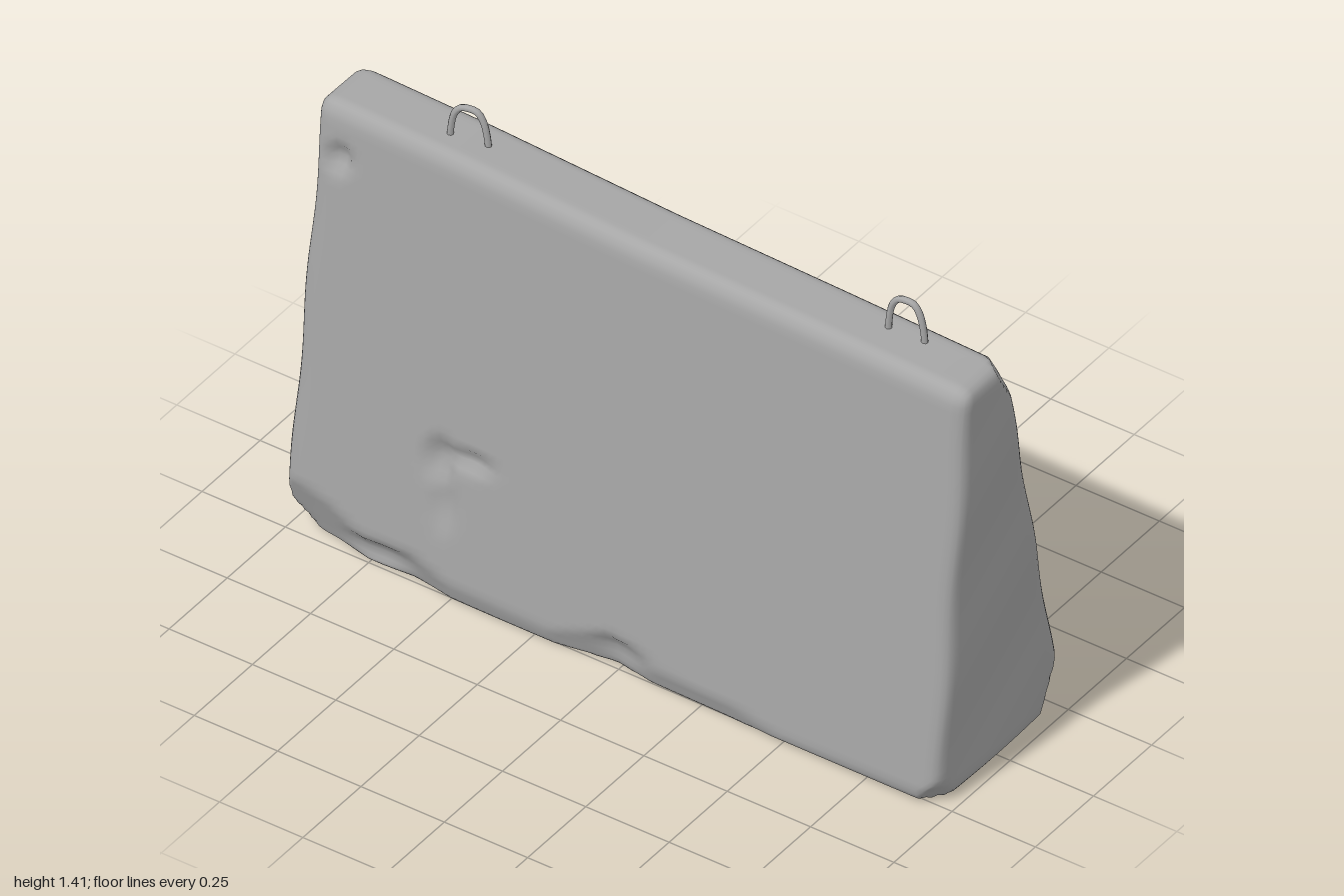
import * as THREE from 'three';
import { mergeVertices } from 'three/addons/utils/BufferGeometryUtils.js';

const { lerp, clamp, smoothstep } = THREE.MathUtils;

// piecewise linear curve through [x, value] pairs
function along(points, x) {
  if (x <= points[0][0]) return points[0][1];
  for (let i = 1; i < points.length; i++) {
    const [x0, a] = points[i - 1], [x1, b] = points[i];
    if (x <= x1) return lerp(a, b, (x - x0) / (x1 - x0));
  }
  return points[points.length - 1][1];
}

const topLine = [[-1, 1.327], [-0.55, 1.312], [0, 1.282], [0.5, 1.266], [1, 1.248]];
const frontChip = [[-1, 0.2], [-0.86, 0.16], [-0.75, 0.1], [-0.62, 0.12], [-0.5, 0.07], [-0.2, 0.06],
  [-0.02, 0.13], [0.1, 0.08], [0.35, 0.07], [0.5, 0.04], [1, 0.05]];
const backChip = [[-1, 0.13], [-0.85, 0.1], [-0.6, 0.05], [-0.35, 0.08], [-0.1, 0.04], [0.2, 0.07],
  [0.45, 0.05], [0.7, 0.08], [1, 0.1]];

// broken corners: a point on the cut and its outward direction
const cuts = [
  [[-0.94, 0.1, -0.235], [-0.75, -0.25, -0.65]],
  [[0.935, 0.1, -0.24], [0.75, -0.25, -0.65]],
  [[-0.975, 0.06, 0.215], [-0.5, -0.6, 0.6]],
  [[0.965, 0.06, 0.24], [0.6, -0.5, 0.5]],
  [[-0.935, 1.28, 0.01], [-0.6, 0.3, -0.7]],
  [[0.97, 1.21, 0.01], [0.6, 0.4, -0.7]],
].map(([p, n]) => ({ p: new THREE.Vector3(...p), n: new THREE.Vector3(...n).normalize() }));

// shallow dents: x, y, radius x, radius y, depth, side (1 front, -1 back)
const dents = [
  [-0.54, 0.42, 0.06, 0.09, 0.028, 1], [-0.45, 0.45, 0.1, 0.04, 0.022, 1], [-0.52, 0.3, 0.05, 0.12, 0.014, 1],
  [-0.88, 1.17, 0.05, 0.06, 0.028, 1], [-0.72, 0.06, 0.14, 0.05, 0.02, 1], [0.02, 0.08, 0.12, 0.05, 0.015, 1],
  [0.45, 1.12, 0.09, 0.05, 0.022, -1], [0.8, 1.15, 0.12, 0.08, 0.012, -1],
  [-0.88, 0.13, 0.05, 0.06, 0.025, -1], [0.65, 0.2, 0.15, 0.08, 0.012, -1],
];

// tapered, worn concrete block
function blockGeometry() {
  let geometry = new THREE.BoxGeometry(2, 1, 2, 90, 60, 26);
  geometry.deleteAttribute('uv');
  geometry.deleteAttribute('normal');
  geometry = mergeVertices(geometry);
  const pos = geometry.attributes.position;
  const p = new THREE.Vector3(), inner = new THREE.Vector3(), off = new THREE.Vector3();
  const r = 0.04, foot = 0.01;

  for (let i = 0; i < pos.count; i++) {
    const u = (pos.getX(i) + 1) / 2, t = pos.getY(i) + 0.5, w = (pos.getZ(i) + 1) / 2;
    // tapered outline at this height
    const left = lerp(-1, -0.95, t), right = lerp(0.975, 0.998, t);
    const back = lerp(-0.285, -0.008, t), front = lerp(0.28, 0.183, t);
    const x = lerp(left, right, u), top = along(topLine, x);
    p.set(x, lerp(foot, top, t), lerp(back, front, w));

    // round all edges
    inner.set(clamp(p.x, left + r, right - r), clamp(p.y, foot + r, top - r), clamp(p.z, back + r, front - r));
    off.subVectors(p, inner);
    p.copy(inner).addScaledVector(off.normalize(), r);

    // chipped lower edges
    const f = along(frontChip, p.x) - p.y, b = along(backChip, p.x) - p.y;
    if (f > 0) p.z = Math.min(p.z, front - f * 0.45);
    if (b > 0) p.z = Math.max(p.z, back + b * 0.5);

    for (const cut of cuts) {
      const d = off.subVectors(p, cut.p).dot(cut.n);
      if (d > 0) p.addScaledVector(cut.n, -d);
    }
    for (const [dx, dy, rx, ry, depth, side] of dents) {
      const q = Math.hypot((p.x - dx) / rx, (p.y - dy) / ry);
      const facing = smoothstep(side > 0 ? w : 1 - w, 0.7, 1);
      p.z -= side * depth * facing * (1 - smoothstep(q, 0.1, 1));
    }

    // slightly uneven ends
    const end = smoothstep(Math.abs(p.x), 0.85, 0.95);
    p.x += end * 0.004 * Math.sin(p.y * 13 + p.z * 9 + Math.sign(p.x));
    pos.setXYZ(i, clamp(p.x, -1, 1), Math.max(p.y, foot), p.z);
  }
  geometry.computeVertexNormals();
  return geometry;
}

// bent steel lifting loop
function liftingLoop(material, x, top, z, turn) {
  const path = new THREE.CatmullRomCurve3([
    [-0.052, -0.14], [-0.05, -0.085], [-0.04, -0.035], [-0.022, -0.012], [0, -0.008],
    [0.022, -0.012], [0.038, -0.035], [0.05, -0.085], [0.054, -0.14],
  ].map(([a, b]) => new THREE.Vector3(a, b, 0)));
  const loop = new THREE.Mesh(new THREE.TubeGeometry(path, 28, 0.009, 8), material);
  loop.position.set(x, top, z);
  loop.rotation.y = turn;
  return loop;
}

export function createModel() {
  const concrete = new THREE.MeshStandardMaterial({ color: 0xa6a6a6 });
  concrete.name = 'concrete grey';

  const group = new THREE.Group();
  group.name = 'concreteBarrier';
  const block = new THREE.Mesh(blockGeometry(), concrete);
  block.name = 'block';
  const leftLoop = liftingLoop(concrete, 0.733, 1.37, 0.063, 0.06);
  leftLoop.name = 'leftLiftingLoop';
  const rightLoop = liftingLoop(concrete, -0.558, 1.415, 0.093, 0.17);
  rightLoop.name = 'rightLiftingLoop';
  group.add(block, leftLoop, rightLoop);
  return group;
}
